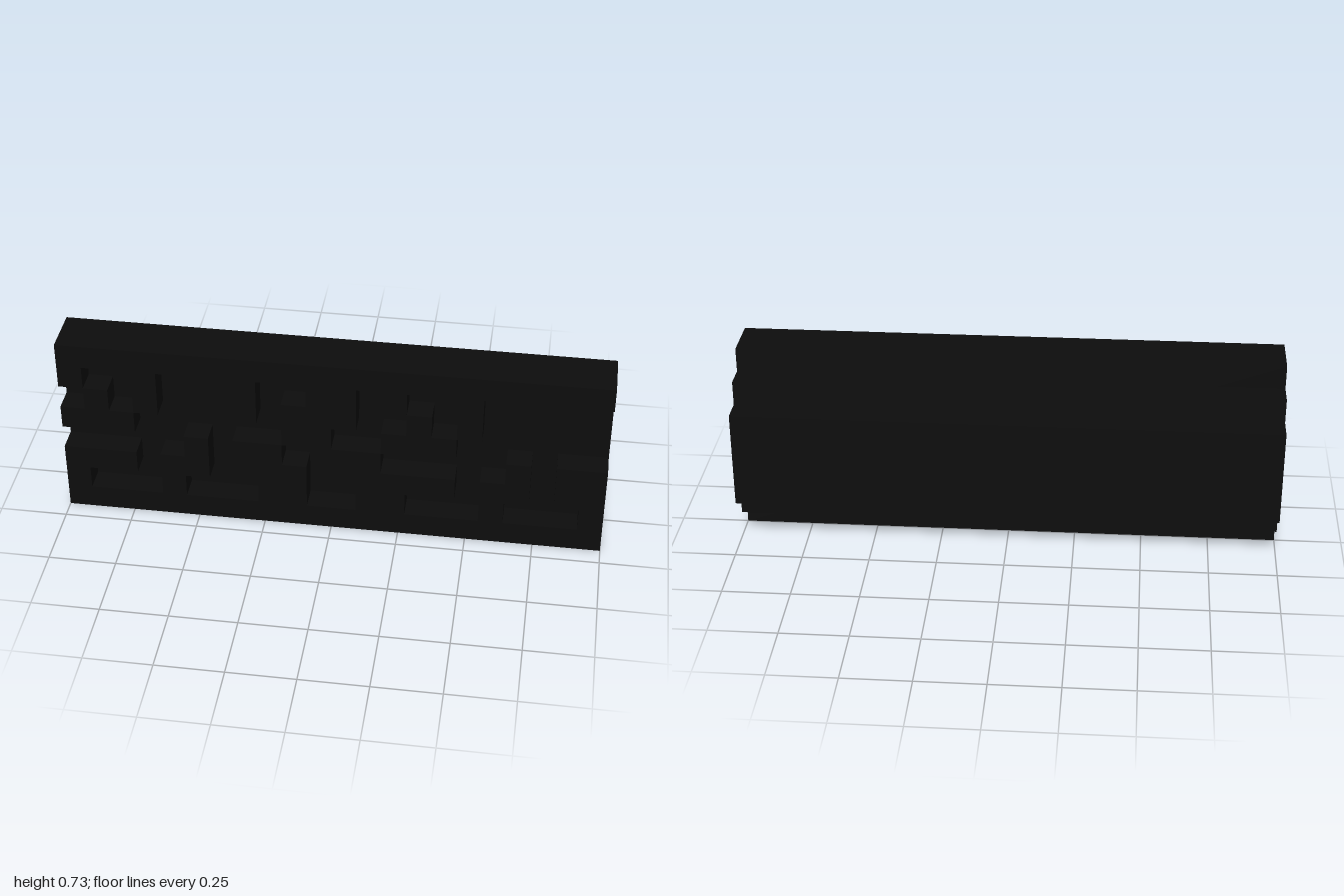
import * as THREE from 'three';

const U = 2 / 22; // one block
const COLS = 22;

// Carved relief, top row first: '#' is raised, '.' is recessed; repeats every 13 blocks
const RELIEF = [
  '#############',
  '#..#.###..##.',
  '.#.#.###.###.',
  '###......##..',
  '.....#.##..##',
  '###.##.###.##',
  '#...#...##..#',
  '#############',
];

export function createModel() {
  const model = new THREE.Group();
  const black = new THREE.MeshStandardMaterial({ color: 0x0d0d0d });
  black.name = 'black';

  // Box from block coordinates: x from the left edge, y from the ground, z from the middle
  function block(name, x, y, z, w, h, d, parent = model) {
    const mesh = new THREE.Mesh(new THREE.BoxGeometry(w * U, h * U, d * U), black);
    mesh.position.set((x + w / 2 - COLS / 2) * U, (y + h / 2) * U, (z + d / 2) * U);
    mesh.name = name;
    parent.add(mesh);
  }

  // Backing wall behind the relief
  block('wall', 0, 0, 0, COLS, 8, 1);

  // Raised front relief, one box for each unbroken run in a row
  const relief = new THREE.Group();
  relief.name = 'frontRelief';
  model.add(relief);
  RELIEF.forEach((row, r) => {
    const solid = (c) => c < COLS && row[c % row.length] === '#';
    for (let c = 0; c < COLS; c++) {
      if (!solid(c)) continue;
      const start = c;
      while (solid(c)) c++;
      block('reliefRun', start, 7 - r, 1, c - start, 1, 1, relief);
    }
  });

  // Rear rails and the panel they carry, leaving an open channel
  block('lowerRail', 0, 1, -1, COLS, 1, 1);
  block('upperRail', 0, 6, -1, COLS, 1, 1);
  block('backPanel', 0, 2, -2, COLS, 4, 1);

  return model;
}
